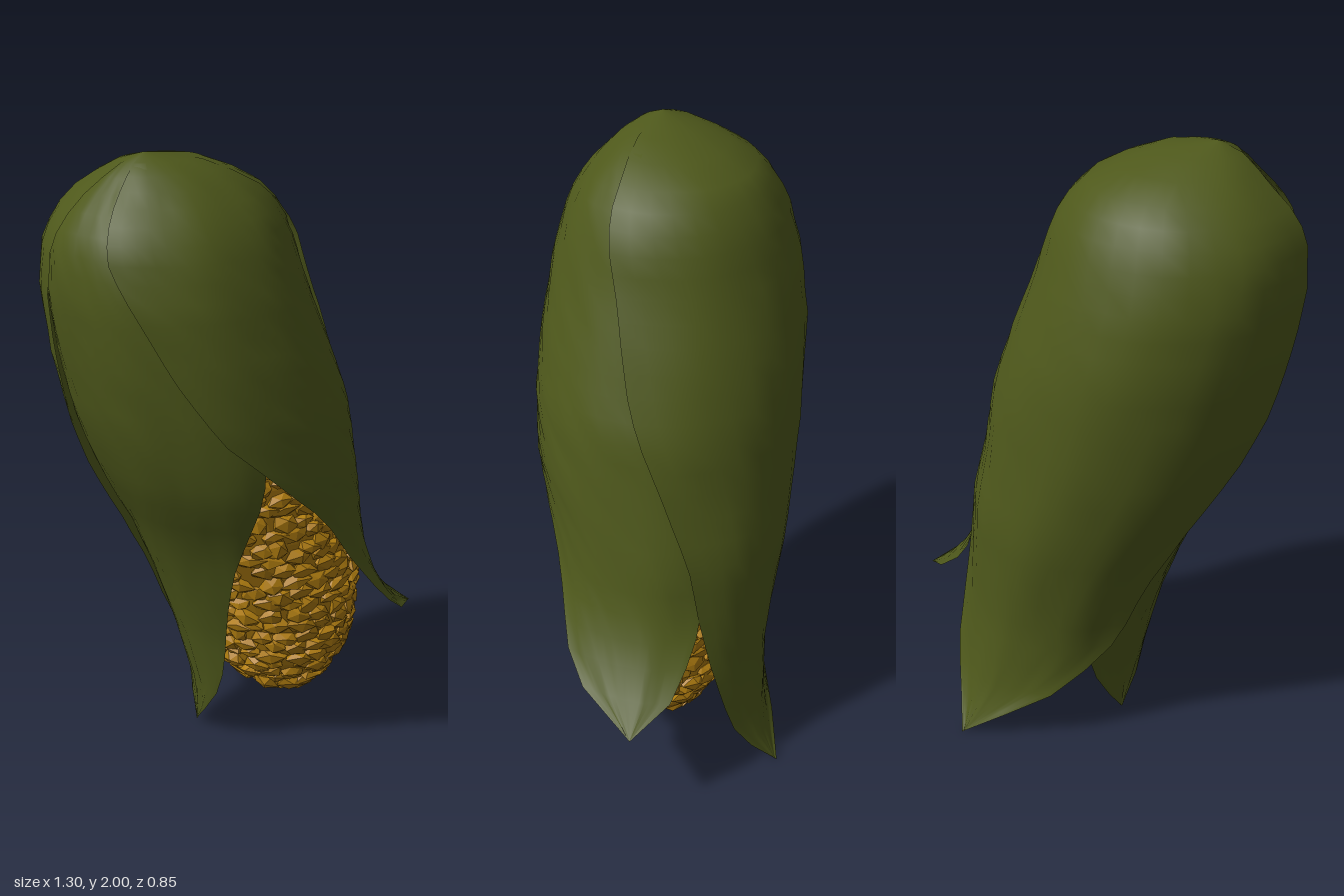
import * as THREE from 'three';
import { mergeGeometries } from 'three/addons/utils/BufferGeometryUtils.js';

// Piecewise linear lookup in a table of rows [y, ...values], y descending
function sample(table, y) {
  if (y >= table[0][0]) return table[0].slice(1);
  for (let i = 1; i < table.length; i++) {
    const a = table[i - 1], b = table[i];
    if (y >= b[0]) {
      const t = (a[0] - y) / (a[0] - b[0]);
      return a.slice(1).map((v, k) => v + (b[k + 1] - v) * t);
    }
  }
  return table[table.length - 1].slice(1);
}

let seed = 7;
const rand = () => {
  seed = (seed * 16807) % 2147483647;
  return seed / 2147483647 - 0.5;
};

// Husk envelope: y, centre x, centre z, radius x, radius z
const HUSK = [
  [2.0, -0.35, 0.06, 0, 0], [1.97, -0.285, 0.04, 0.145, 0.12], [1.9, -0.25, 0, 0.255, 0.235],
  [1.83, -0.25, 0, 0.325, 0.295], [1.75, -0.252, 0, 0.37, 0.34], [1.6, -0.235, 0, 0.398, 0.385],
  [1.4, -0.18, 0, 0.422, 0.415], [1.2, -0.12, 0.005, 0.435, 0.422], [1.0, -0.065, 0.003, 0.412, 0.415],
  [0.8, 0.01, -0.02, 0.378, 0.38], [0.6, 0.06, -0.03, 0.345, 0.345],
  [0.4, 0.11, -0.03, 0.325, 0.32], [0.2, 0.15, -0.02, 0.32, 0.32], [0, 0.17, -0.02, 0.32, 0.32],
];

// Cob core: y, centre x, centre z, radius
const COB = [
  [1.9, -0.26, 0, 0.1], [1.75, -0.25, 0, 0.26], [1.5, -0.2, 0, 0.33], [1.0, -0.05, 0, 0.345],
  [0.8, 0.02, 0, 0.33], [0.6, 0.09, 0, 0.29], [0.45, 0.125, 0, 0.257], [0.3, 0.145, -0.01, 0.218],
  [0.2, 0.16, -0.025, 0.15], [0.15, 0.17, -0.03, 0.09], [0.125, 0.17, -0.03, 0],
];

// Leaf outlines: y, start angle, end angle (degrees, 0 = +x, 90 = +z), flare at start, flare at end
const FRONT_LEAF = [
  [2.0, 20, 150, 1, 1], [1.9, 22, 146, 1, 1], [1.7, 12, 139, 1, 1], [1.6, 8, 131, 1, 1],
  [1.4, 2, 122, 1, 1], [1.2, -6, 110, 1, 1], [1.05, -14, 93, 1, 1], [0.9, -18, 76, 1, 1],
  [0.75, -22, 65, 1, 1.03], [0.6, -24, 51, 1.02, 1.13], [0.5, -18, 43, 1.12, 1.25],
  [0.42, -11, 31, 1.32, 1.36], [0.38, -6, 23, 1.45, 1.44], [0.33, 4, 4, 1.62, 1.62],
];
const BACK_LEAF = [
  [2.0, -190, 40, 1, 1], [1.9, -188, 33, 1, 1], [1.6, -184, 17, 1, 1], [1.3, -179, 8, 1, 1],
  [1.05, -171, -6, 1, 1], [0.8, -161, -17, 1, 1], [0.6, -151, -23, 1, 1], [0.45, -147, -31, 1, 1],
  [0.37, -143, -36, 1, 1.01], [0.21, -119, -46, 1.03, 1.06], [0.1, -91, -58, 1.12, 1.13],
  [0, -71, -71, 1.29, 1.29],
];
const SIDE_LEAF = [
  [2.0, 130, 200, 1, 1], [1.6, 115, 194, 1, 1], [1.2, 92, 195, 1, 1], [1.0, 100, 200, 1, 1],
  [0.75, 122, 216, 1, 1], [0.5, 138, 230, 1, 1], [0.3, 150, 228, 1, 1], [0.15, 166, 215, 0.98, 0.98],
  [0.01, 194, 194, 1, 1],
];

const leafMaterial = new THREE.MeshStandardMaterial({ color: 0x4e581b, roughness: 0.9, side: THREE.DoubleSide });

// A husk leaf: a sheet wrapped on the envelope between its two edges, with raised rims
function leaf(name, outline, lift, lip) {
  const cols = 18, rows = 28, pos = [], index = [];
  const top = outline[0][0], bottom = outline[outline.length - 1][0];
  for (let j = 0; j <= rows; j++) {
    const y = top - (top - bottom) * Math.pow(j / rows, 1.3);
    const [a0, a1, f0, f1] = sample(outline, y);
    const [cx, cz, rx, rz] = sample(HUSK, y);
    const fade = Math.min(1, (2 - y) * 8);
    for (let i = 0; i <= cols; i++) {
      const u = i / cols, a = THREE.MathUtils.degToRad(a0 + (a1 - a0) * u);
      const f = f0 + (f1 - f0) * u;
      const rim = lip * Math.pow(2 * u - 1, 8);
      const ripple = 0.003 * Math.sin(a * 9 + y * 3) + 0.005 * rand();
      const grow = fade * (lift + rim + ripple);
      pos.push(cx + (rx * f + grow) * Math.cos(a), y, cz + (rz * f + grow) * Math.sin(a));
      if (i < cols && j < rows) {
        const p = j * (cols + 1) + i, q = p + cols + 1;
        index.push(p, p + 1, q, q, p + 1, q + 1);
      }
    }
  }
  const g = new THREE.BufferGeometry();
  g.setAttribute('position', new THREE.Float32BufferAttribute(pos, 3));
  g.setIndex(index);
  g.computeVertexNormals();
  const mesh = new THREE.Mesh(g, leafMaterial);
  mesh.name = name;
  return mesh;
}

// One chunky kernel with jittered corners; shared corners move together
function kernel(w, h, d) {
  const g = new THREE.IcosahedronGeometry(1, 0);
  const p = g.attributes.position, moved = new Map();
  for (let i = 0; i < p.count; i++) {
    const key = [p.getX(i), p.getY(i), p.getZ(i)].map((v) => v.toFixed(3)).join();
    if (!moved.has(key)) moved.set(key, [1 + rand() * 0.7, 1 + rand() * 0.7, 1 + rand() * 0.5]);
    const m = moved.get(key);
    p.setXYZ(i, p.getX(i) * m[0] * w, p.getY(i) * m[1] * h, p.getZ(i) * m[2] * d);
  }
  return g;
}

function cob() {
  const group = new THREE.Group();
  group.name = 'cob';
  const material = new THREE.MeshStandardMaterial({ color: 0xb07d10, roughness: 0.8, flatShading: true });

  // Core: a round body bent along the leaning axis
  const profile = COB.map(([y, , , r]) => new THREE.Vector2(Math.max(r - 0.004, 0), y)).reverse();
  const core = new THREE.LatheGeometry(profile, 28);
  const p = core.attributes.position;
  for (let i = 0; i < p.count; i++) {
    const [cx, cz] = sample(COB, p.getY(i));
    p.setXYZ(i, p.getX(i) + cx, p.getY(i), p.getZ(i) + cz);
  }
  const coreMesh = new THREE.Mesh(core, material);
  coreMesh.name = 'cobCore';

  // Kernels in staggered uneven rings, following the slope of the core
  const parts = [], dummy = new THREE.Object3D();
  for (let y = 0.13, ring = 0; y < 1.15; ring++) {
    const [cx, cz, r] = sample(COB, y);
    const slope = (sample(COB, y + 0.02)[2] - sample(COB, y - 0.02)[2]) / 0.04;
    const count = Math.max(1, Math.round((2 * Math.PI * r) / 0.075));
    for (let i = 0; i < count; i++) {
      const a = ((i + (ring % 2) / 2 + rand() * 0.5) / count) * Math.PI * 2;
      const out = new THREE.Vector3(Math.cos(a), -slope, Math.sin(a)).normalize();
      dummy.position.set(cx + Math.cos(a) * r, y + rand() * 0.022, cz + Math.sin(a) * r)
        .addScaledVector(out, -0.006);
      dummy.lookAt(dummy.position.clone().add(out));
      dummy.rotateZ(rand() * 0.5);
      dummy.updateMatrix();
      parts.push(kernel(0.048 + rand() * 0.014, 0.032 + rand() * 0.01, 0.025).applyMatrix4(dummy.matrix));
    }
    y += 0.046 / Math.sqrt(1 + Math.min(slope * slope, 8));
  }
  const kernels = new THREE.Mesh(mergeGeometries(parts), material);
  kernels.name = 'kernels';
  group.add(coreMesh, kernels);
  return group;
}

export function createModel() {
  seed = 7;
  const model = new THREE.Group();
  model.name = 'cornEar';
  model.add(
    cob(),
    leaf('sideLeaf', SIDE_LEAF, -0.012, 0),
    leaf('frontLeaf', FRONT_LEAF, 0, 0.004),
    leaf('backLeaf', BACK_LEAF, 0.006, 0.01),
  );
  return model;
}
